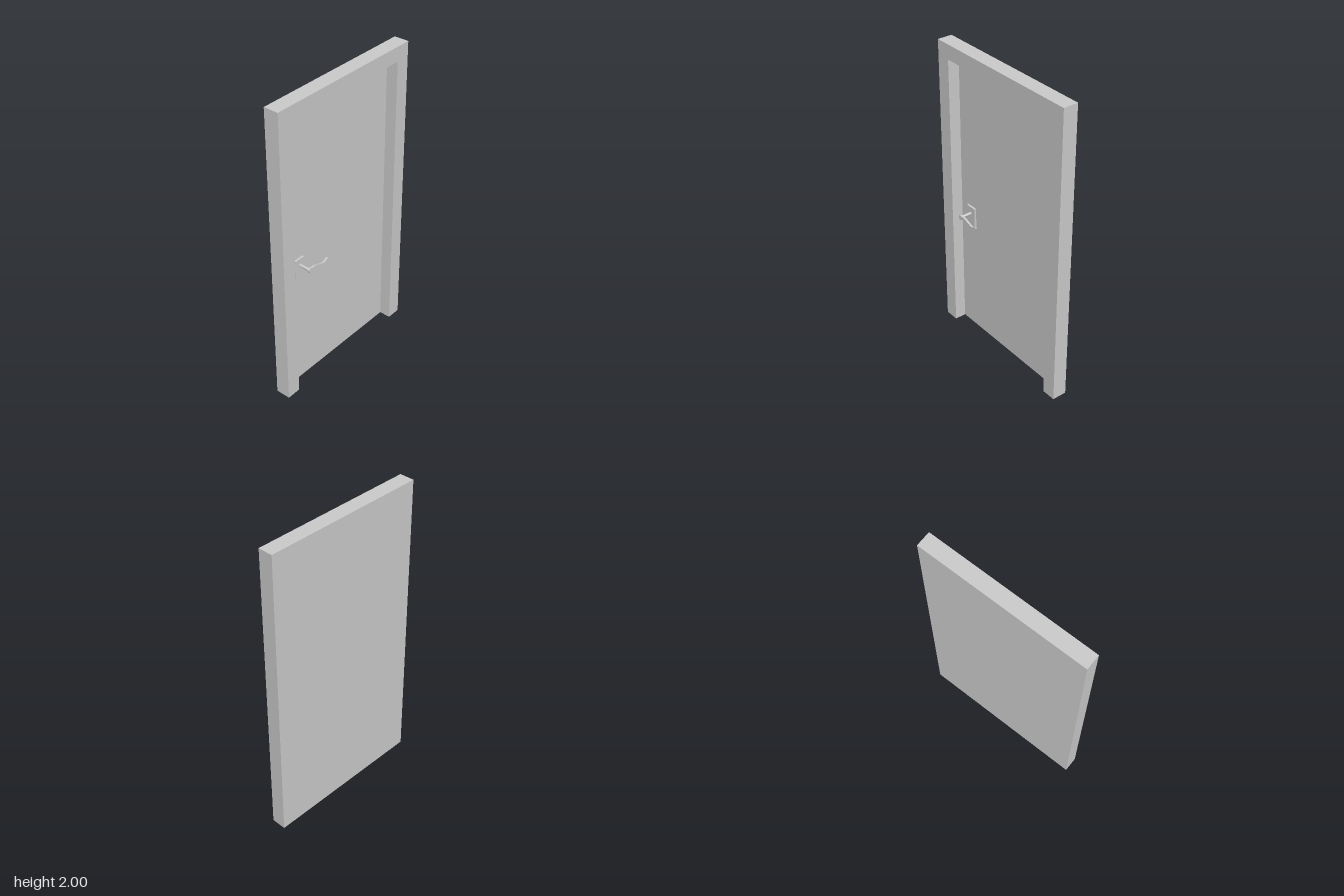
import * as THREE from 'three';

const material = new THREE.MeshStandardMaterial({ color: 0xcccccc });

function addMesh(parent, name, geometry, x = 0, y = 0, z = 0) {
  const mesh = new THREE.Mesh(geometry, material);
  mesh.name = name;
  mesh.position.set(x, y, z);
  parent.add(mesh);
  return mesh;
}

export function createModel() {
  const model = new THREE.Group();
  model.name = 'door';
  const back = -0.06, front = 0.037, panelFront = -0.039;

  // Frame: two jambs and a head in one outline, open at the floor
  const outline = new THREE.Shape([
    [-0.55, 0], [-0.455, 0], [-0.455, 1.905], [0.455, 1.905],
    [0.455, 0], [0.55, 0], [0.55, 2], [-0.55, 2],
  ].map(([x, y]) => new THREE.Vector2(x, y)));
  addMesh(model, 'frame', new THREE.ExtrudeGeometry(outline,
    { depth: front - back, bevelEnabled: false }), 0, 0, back);

  // Door leaf, flush with the back of the frame
  addMesh(model, 'doorLeaf', new THREE.BoxGeometry(0.91, 1.905, panelFront - back),
    0, 0.9525, (panelFront + back) / 2);

  const handle = new THREE.Group();
  handle.name = 'handle';
  model.add(handle);

  // Back plate on the leaf
  addMesh(handle, 'backPlate', new THREE.BoxGeometry(0.076, 0.145, 0.014),
    -0.349, 0.852, panelFront + 0.007);

  // Spindle from plate to lever
  const spindleStart = panelFront + 0.012, leverBack = 0.045;
  const spindle = addMesh(handle, 'spindle',
    new THREE.CylinderGeometry(0.0095, 0.0095, leverBack - spindleStart + 0.002, 20),
    -0.347, 0.88, (spindleStart + leverBack) / 2 + 0.001);
  spindle.rotation.x = Math.PI / 2;

  // Lever: round hub running into a thin wave with an upturned tip
  const lever = new THREE.Shape();
  lever.moveTo(-0.335, 0.892);
  lever.absarc(-0.346, 0.88, 0.0165, 0.82, 5.4, false);
  lever.bezierCurveTo(-0.322, 0.883, -0.316, 0.887, -0.305, 0.884);
  lever.bezierCurveTo(-0.275, 0.876, -0.245, 0.862, -0.222, 0.861);
  lever.bezierCurveTo(-0.206, 0.861, -0.2, 0.87, -0.193, 0.874);
  lever.lineTo(-0.193, 0.885);
  lever.bezierCurveTo(-0.208, 0.885, -0.215, 0.872, -0.23, 0.871);
  lever.bezierCurveTo(-0.25, 0.871, -0.285, 0.889, -0.31, 0.893);
  lever.bezierCurveTo(-0.32, 0.895, -0.326, 0.894, -0.335, 0.892);
  addMesh(handle, 'lever', new THREE.ExtrudeGeometry(lever,
    { depth: 0.013, bevelEnabled: false, curveSegments: 10 }), 0, 0, leverBack);

  return model;
}
